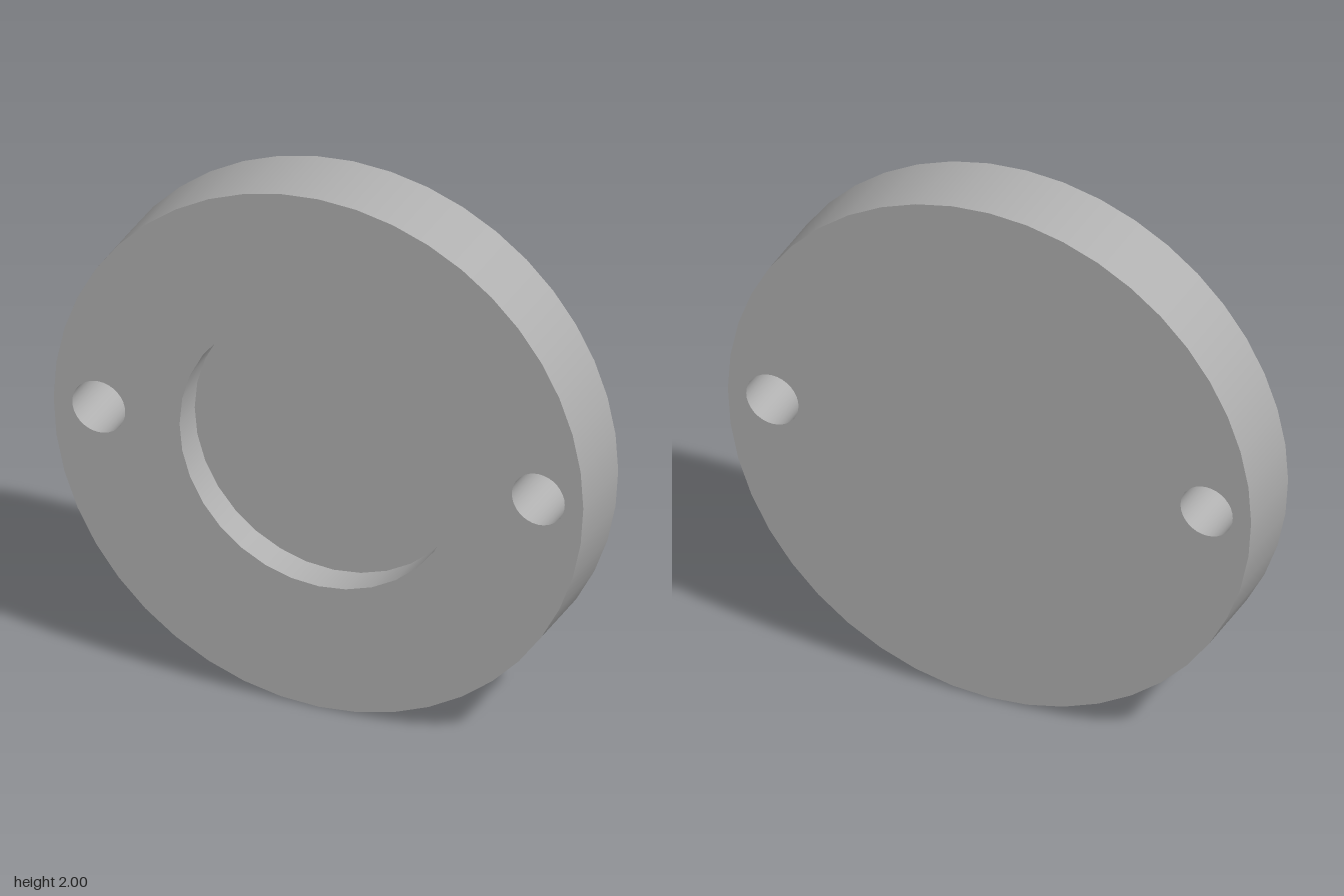
import * as THREE from 'three';

const HALF = 0.15;            // half thickness of the disc
const FLOOR = 0.02;           // z of the recess floor
const RIM = { x: 0, r: 1, n: 44 };
const RECESS = { x: 0, r: 0.525, n: 32 };
const HOLES = [-1, 1].map((s) => ({ x: s * 0.83, r: 0.1, n: 32 }));

// Corner points of a circle, starting at its lowest point
function circlePoints({ x, r, n }) {
  return Array.from({ length: n }, (_, i) => {
    const a = (i / n) * Math.PI * 2 - Math.PI / 2;
    return new THREE.Vector2(x + r * Math.cos(a), r * Math.sin(a));
  });
}

// Flat face in the xy plane, with round openings
function face(circle, openings, z, backward = false) {
  const shape = new THREE.Shape(circlePoints(circle));
  shape.holes = openings.map((o) => new THREE.Path(circlePoints(o)));
  const geometry = new THREE.ShapeGeometry(shape);
  if (backward) geometry.rotateY(Math.PI);
  return geometry.translate(0, 0, z);
}

// Smooth round wall along z: from < to faces outward, from > to faces inward
function wall({ x, r, n }, from, to) {
  const profile = [new THREE.Vector2(r, from), new THREE.Vector2(r, to)];
  return new THREE.LatheGeometry(profile, n).rotateX(Math.PI / 2).translate(x, 0, 0);
}

export function createModel() {
  const group = new THREE.Group();
  group.name = 'roundPlate';
  const grey = new THREE.MeshStandardMaterial({ color: 0xb0b0b0 });
  grey.name = 'plain grey';

  const add = (name, geometry) => {
    const mesh = new THREE.Mesh(geometry, grey);
    mesh.name = name;
    mesh.position.y = 1;
    group.add(mesh);
  };

  // Disc body
  add('frontFace', face(RIM, [RECESS, ...HOLES], HALF));
  add('backFace', face(RIM, HOLES, -HALF, true));
  add('outerRim', wall(RIM, -HALF, HALF));

  // Round recess in the front
  add('recessWall', wall(RECESS, HALF, FLOOR));
  add('recessFloor', face(RECESS, [], FLOOR));

  // Through holes at both sides
  HOLES.forEach((hole) => add(hole.x > 0 ? 'leftHole' : 'rightHole', wall(hole, HALF, -HALF)));

  return group;
}
